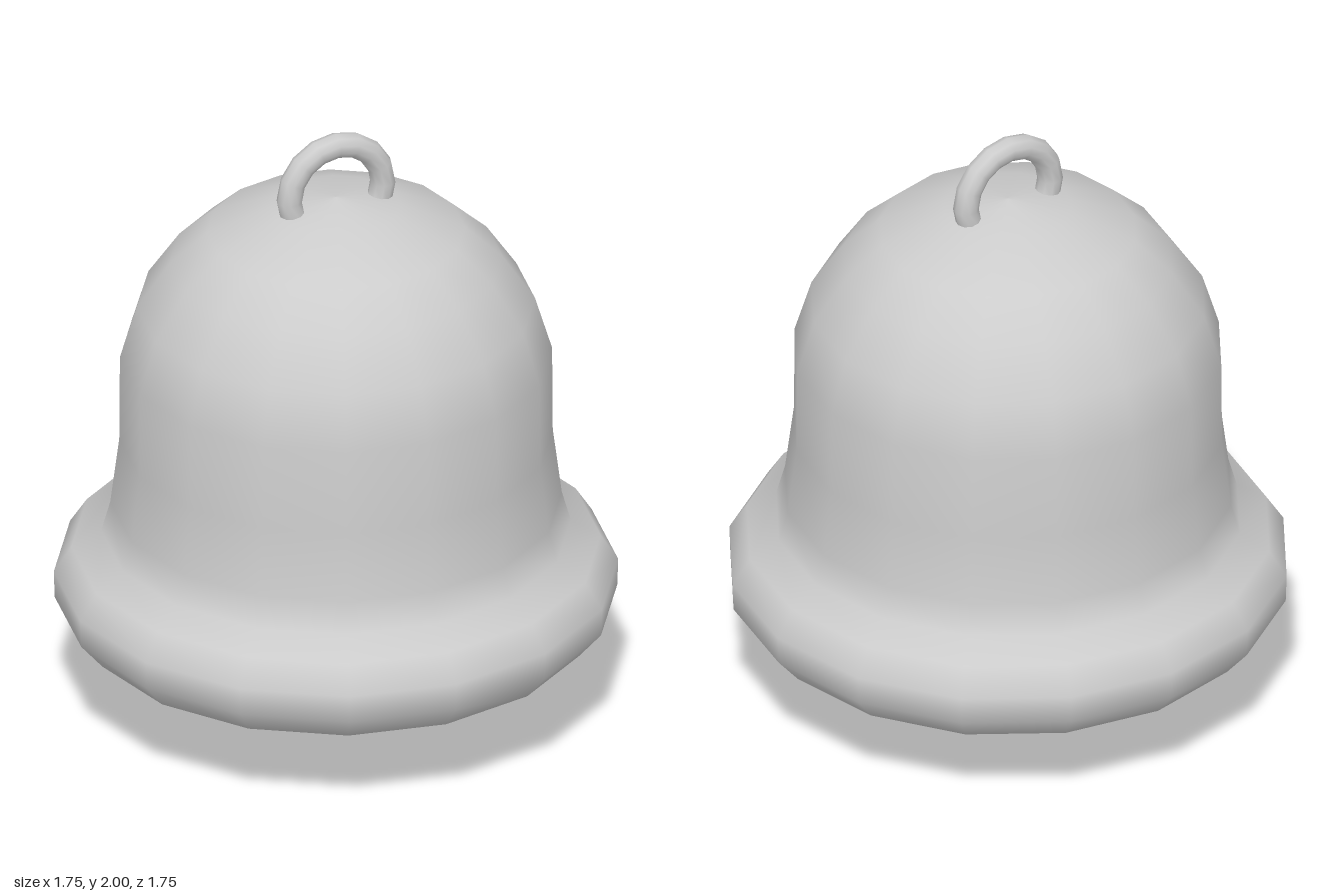
import * as THREE from 'three';

export function createModel() {
  const group = new THREE.Group();
  const material = new THREE.MeshStandardMaterial({ color: 0xcccccc });
  const add = (name, geometry, x = 0, y = 0, z = 0) => {
    const mesh = new THREE.Mesh(geometry, material);
    mesh.name = name;
    mesh.position.set(x, y, z);
    group.add(mesh);
    return mesh;
  };

  // Bell shell: inside wall from the crown down, round the lip, then up the outside
  const inside = [
    [0, 1.69], [0.18, 1.665], [0.36, 1.585], [0.46, 1.49], [0.55, 1.37], [0.595, 1.21],
    [0.595, 0.95], [0.61, 0.74], [0.59, 0.6], [0.545, 0.48], [0.55, 0.39], [0.585, 0.315],
  ];
  const outside = [
    [0.65, 0.275], [0.8, 0.315], [0.872, 0.4], [0.875, 0.49], [0.82, 0.575], [0.728, 0.63],
    [0.7, 0.73], [0.672, 0.95], [0.67, 1.235], [0.617, 1.41], [0.515, 1.56], [0.4, 1.665],
    [0.2, 1.75], [0, 1.78],
  ];
  const profile = [...inside, ...outside].map(([r, y]) => new THREE.Vector2(r, y));
  add('bellShell', new THREE.LatheGeometry(profile, 16));

  // Hanging loop, its ends sunk into the crown
  const loop = new THREE.TorusGeometry(0.16, 0.04, 10, 10, Math.PI * 1.25);
  loop.rotateZ(-Math.PI / 8);
  add('hangingLoop', loop, 0, 1.8, 0);

  // Clapper ball with its poles front and back, on a thin rod
  const ball = new THREE.SphereGeometry(0.355, 16, 16);
  ball.rotateX(Math.PI / 2);
  add('clapperBall', ball, 0, 0.36, 0);
  add('clapperRod', new THREE.CylinderGeometry(0.04, 0.04, 1.05, 10), 0, 1.2, 0);

  return group;
}
